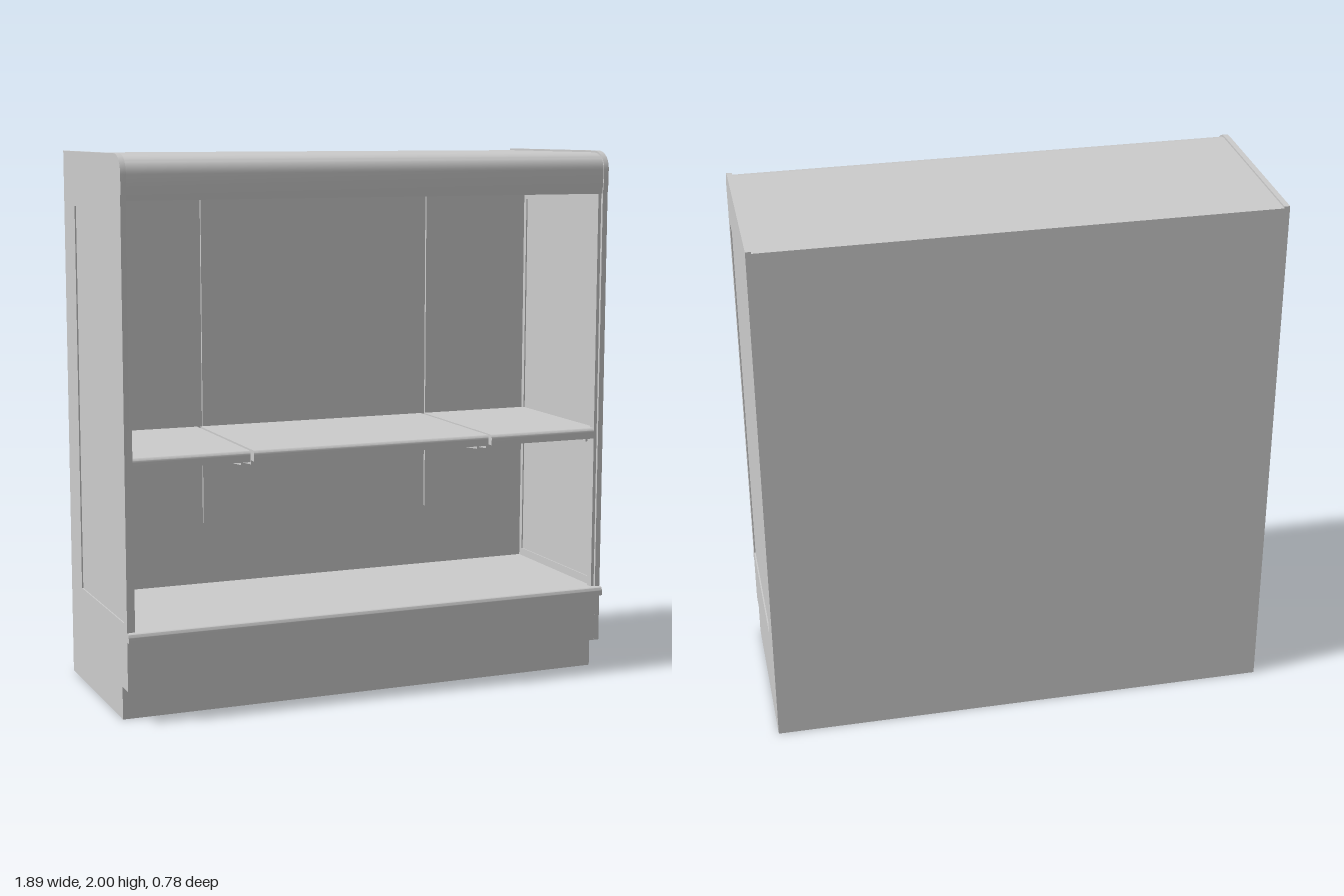
import * as THREE from 'three';
import { toCreasedNormals } from 'three/addons/utils/BufferGeometryUtils.js';

const material = new THREE.MeshStandardMaterial({ color: 0xcccccc });

export function createModel() {
  const group = new THREE.Group();

  const add = (name, geometry) => {
    const mesh = new THREE.Mesh(geometry, material);
    mesh.name = name;
    group.add(mesh);
  };

  // Box given by its limits on each axis
  const box = (name, x0, x1, y0, y1, z0, z1) => {
    const g = new THREE.BoxGeometry(x1 - x0, y1 - y0, z1 - z0);
    g.translate((x0 + x1) / 2, (y0 + y1) / 2, (z0 + z1) / 2);
    add(name, g);
  };

  // Side profile drawn as (z, y), swept from x0 to x1
  const sweep = (name, shape, x0, x1) => {
    const g = new THREE.ExtrudeGeometry(shape, { depth: x1 - x0, bevelEnabled: false, curveSegments: 12 });
    g.rotateY(-Math.PI / 2).translate(x1, 0, 0);
    add(name, toCreasedNormals(g, 0.6));
  };

  const polygon = (points) => new THREE.Shape(points.map(([z, y]) => new THREE.Vector2(z, y)));

  // Rounded nose shared by the end panels and the canopy
  const roundedTop = (shape, top, front) => {
    shape.lineTo(front - 0.005, 1.84);
    shape.lineTo(front, 1.885);
    shape.lineTo(front, 1.93);
    shape.bezierCurveTo(front, 1.97, front - 0.03, top, front - 0.08, top);
    shape.lineTo(-0.39, top);
    shape.closePath();
  };

  // End panels with a shallow recessed pane
  const W = 0.945, inner = 0.925;
  const panel = polygon([[-0.39, 0], [0.3, 0], [0.3, 0.12], [0.37, 0.12]]);
  roundedTop(panel, 2, 0.377);
  panel.holes.push(new THREE.Path([[-0.24, 0.36], [-0.24, 1.8], [0.33, 1.8], [0.33, 0.36]]
    .map(([z, y]) => new THREE.Vector2(z, y))));
  for (const [side, x0, x1] of [['left', inner, W], ['right', -W, -inner]]) {
    sweep(side + 'EndPanel', panel, x0, x1);
    box(side + 'EndPane', x0 + 0.005, x1 - 0.005, 0.36, 1.8, -0.24, 0.33);
    // Slim trim along the front opening
    const s = Math.sign(x0), a = s * inner, b = s * 0.913;
    box(side + 'FrontTrim', Math.min(a, b), Math.max(a, b), 0.33, 1.84, 0.33, 0.36);
  }

  // Canopy
  const canopy = polygon([[-0.39, 1.84]]);
  roundedTop(canopy, 1.993, 0.372);
  sweep('canopy', canopy, -inner, inner);

  // Back: outer skin and insulated inner wall
  box('backSkin', -inner, inner, 0, 1.84, -0.39, -0.37);
  box('backWall', -inner, inner, 0.3, 1.84, -0.37, -0.26);

  // Hollow base: deck, front board, ledge and toe kick
  box('deck', -inner, inner, 0.3, 0.33, -0.26, 0.37);
  box('frontBoard', -inner, inner, 0.12, 0.3, 0.355, 0.37);
  box('baseLedge', -inner, inner, 0.12, 0.132, 0.285, 0.355);
  box('toeKick', -inner, inner, 0, 0.12, 0.285, 0.3);

  // Rounded bumper along the deck front
  const bumper = polygon([[0.365, 0.3], [0.39, 0.3], [0.39, 0.318]]);
  bumper.quadraticCurveTo(0.39, 0.333, 0.375, 0.333);
  bumper.lineTo(0.365, 0.333);
  bumper.closePath();
  sweep('frontBumper', bumper, -W, W);

  // Three bays: back panel, shelf and a bracket at each shelf end
  const shelf = polygon([[-0.25, 0.91], [0.36, 0.91], [0.36, 0.935]]);
  shelf.quadraticCurveTo(0.36, 0.95, 0.345, 0.95);
  shelf.lineTo(-0.25, 0.95);
  shelf.closePath();
  const bracket = polygon([[-0.25, 0.85], [-0.15, 0.85], [0.3, 0.89], [0.3, 0.91], [-0.25, 0.91]]);
  const bays = [['right', -0.92, -0.485], ['middle', -0.455, 0.455], ['left', 0.485, 0.92]];
  for (const [side, x0, x1] of bays) {
    box(side + 'BackPanel', x0, x1, 0.57, 1.82, -0.26, -0.25);
    sweep(side + 'Shelf', shelf, x0 - 0.01 + (x0 > 0 ? 0.003 : 0), x1 + 0.01 - (x1 < 0 ? 0.003 : 0));
    sweep(side + 'BracketA', bracket, x0, x0 + 0.008);
    sweep(side + 'BracketB', bracket, x1 - 0.008, x1);
  }

  return group;
}
